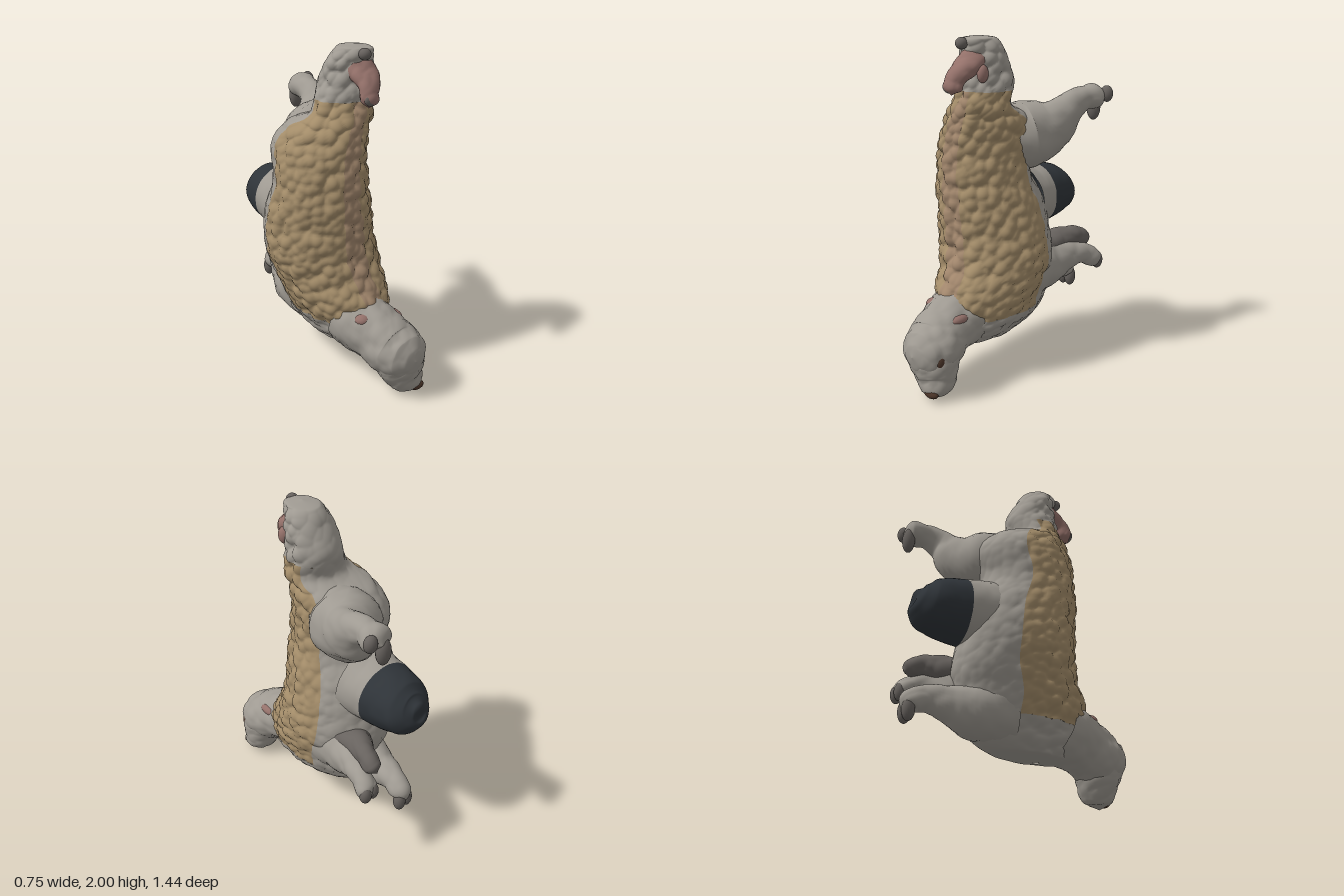
import * as THREE from 'three';

const COLORS = {
  wool: 0xa38c69, spine: 0xa1866c, pale: 0x9f9a92, dark: 0x2f3439, hoof: 0x67625e, pink: 0x94716a, eye: 0x4a3428,
};
const materials = {};
for (const key in COLORS) {
  materials[key] = new THREE.MeshStandardMaterial({ color: COLORS[key], side: THREE.DoubleSide });
}

// Seeded cell hash and clump pattern for the curly fleece
function hash(i, j, k, s) {
  const v = Math.sin(i * 127.1 + j * 311.7 + k * 74.7 + s * 53.3) * 43758.5453;
  return v - Math.floor(v);
}
function clumps(p, size) {
  const x = p.x / size, y = p.y / size, z = p.z / size;
  const i = Math.floor(x), j = Math.floor(y), k = Math.floor(z);
  let best = 4;
  for (let a = i - 1; a <= i + 1; a++)
    for (let b = j - 1; b <= j + 1; b++)
      for (let c = k - 1; c <= k + 1; c++) {
        const dx = a + hash(a, b, c, 1) - x, dy = b + hash(a, b, c, 2) - y, dz = c + hash(a, b, c, 3) - z;
        best = Math.min(best, dx * dx + dy * dy + dz * dz);
      }
  return 0.5 - Math.min(best, 1);
}

// Surface through elliptical stations [x, y, z, radiusAcross, radiusUp].
// A fixed axis keeps all sections parallel; angle runs from +x.
function surface(stations, { axis = null, bump, size = 0.06 }) {
  const path = new THREE.CatmullRomCurve3(stations.map((s) => new THREE.Vector3(s[0], s[1], s[2])));
  const radii = new THREE.CatmullRomCurve3(stations.map((s) => new THREE.Vector3(s[3], s[4], 0)), false, 'catmullrom', 0.4);
  return (u, angle) => {
    const centre = path.getPoint(u);
    const r = radii.getPoint(u);
    const t = axis || path.getTangent(u);
    const across = new THREE.Vector3(1, 0, 0).addScaledVector(t, -t.x).normalize();
    const up = across.clone().cross(t);
    const dir = across.multiplyScalar(Math.max(r.x, 0) * Math.cos(angle))
      .addScaledVector(up, Math.max(r.y, 0) * Math.sin(angle));
    const p = centre.clone().add(dir);
    const push = bump(u, angle) * clumps(p, size);
    return p.addScaledVector(dir.normalize(), push);
  };
}

// Mesh over a part of such a surface
function patch(name, material, at, rows, cols, u0 = 0, u1 = 1, a0 = 0, a1 = Math.PI * 2) {
  const positions = [], index = [];
  const closed = Math.abs(a1 - a0 - Math.PI * 2) < 1e-6;
  const width = closed ? cols : cols + 1;
  for (let i = 0; i <= rows; i++)
    for (let j = 0; j < width; j++) {
      const p = at(u0 + ((u1 - u0) * i) / rows, a0 + ((a1 - a0) * j) / cols);
      positions.push(p.x, p.y, p.z);
    }
  for (let i = 0; i < rows; i++)
    for (let j = 0; j < cols; j++) {
      const a = i * width + j, b = i * width + ((j + 1) % width);
      index.push(a, a + width, b, b, a + width, b + width);
    }
  const geometry = new THREE.BufferGeometry();
  geometry.setAttribute('position', new THREE.Float32BufferAttribute(positions, 3));
  geometry.setIndex(index);
  geometry.computeVertexNormals();
  const mesh = new THREE.Mesh(geometry, materials[material]);
  mesh.name = name;
  return mesh;
}

function blob(name, material, position, radius) {
  const mesh = new THREE.Mesh(new THREE.SphereGeometry(1, 20, 14), materials[material]);
  mesh.position.set(...position);
  mesh.scale.set(...radius);
  mesh.name = name;
  return mesh;
}

export function createModel() {
  const model = new THREE.Group();
  model.name = 'sheep';

  // Trunk sections: height, min x, max x, front z, back z
  const trunk = [
    [0.2, 0.01, 0.04, 0.14, 0.1], [0.22, -0.11, 0.13, 0.33, -0.18], [0.35, -0.2, 0.23, 0.42, -0.36],
    [0.5, -0.27, 0.27, 0.41, -0.38], [0.65, -0.32, 0.29, 0.33, -0.42], [0.8, -0.36, 0.27, 0.29, -0.41],
    [1.0, -0.36, 0.23, 0.29, -0.38], [1.2, -0.34, 0.175, 0.29, -0.29], [1.4, -0.32, 0.175, 0.28, -0.33],
    [1.53, -0.26, 0.18, 0.27, -0.24], [1.61, -0.19, 0.17, 0.26, -0.06], [1.75, -0.13, 0.17, 0.24, -0.07],
    [1.9, -0.1, 0.155, 0.24, 0], [1.985, -0.05, 0.12, 0.26, 0.06], [2.0, 0.03, 0.03, 0.17, 0.17],
  ].map(([y, x0, x1, z0, z1]) => [(x0 + x1) / 2, y, (z0 + z1) / 2, (x1 - x0) / 2, (z0 - z1) / 2]);
  const trunkSurface = surface(trunk, {
    axis: new THREE.Vector3(0, 1, 0),
    bump: (u, a) => (0.01 + 0.03 * THREE.MathUtils.smoothstep(Math.sin(a), -0.7, 0.2)) * Math.min(1, u * 8, (1 - u) * 8),
  });
  const flank = -0.35, spine = Math.PI / 2 - 0.22, neckLine = 0.76, hipLine = 0.16;
  model.add(
    patch('leftFleece', 'wool', trunkSurface, 130, 44, hipLine, neckLine, flank, spine),
    patch('spineStrip', 'spine', trunkSurface, 130, 14, hipLine, neckLine, spine, Math.PI - spine),
    patch('rightFleece', 'wool', trunkSurface, 130, 44, hipLine, neckLine, Math.PI - spine, Math.PI - flank),
    patch('belly', 'pale', trunkSurface, 130, 56, hipLine, neckLine, Math.PI - flank, Math.PI * 2 + flank),
    patch('lowerChest', 'pale', trunkSurface, 36, 96, 0, hipLine),
    patch('upperHead', 'pale', trunkSurface, 56, 96, neckLine, 1),
  );

  const bumps = (amount, size) => ({ bump: (u) => amount * Math.min(1, (1 - u) * 6), size });

  // Lower neck and domed head with its muzzle hanging down
  const neck = surface([
    [0, 0.44, 0.12, 0.2, 0.2], [-0.01, 0.38, 0.3, 0.19, 0.18], [0.01, 0.335, 0.44, 0.165, 0.165],
    [0.035, 0.28, 0.56, 0.172, 0.155], [0.04, 0.27, 0.66, 0.135, 0.125], [0.04, 0.27, 0.705, 0.07, 0.07], [0.04, 0.27, 0.722, 0, 0],
  ], bumps(0.016, 0.07));
  const muzzle = surface([
    [0.035, 0.28, 0.56, 0.15, 0.13], [0.06, 0.2, 0.57, 0.15, 0.13], [0.085, 0.11, 0.58, 0.12, 0.105],
    [0.105, 0.045, 0.605, 0.085, 0.07], [0.11, 0.005, 0.61, 0, 0],
  ], bumps(0.015, 0.06));
  model.add(
    patch('lowerNeck', 'pale', neck, 50, 56, 0.12, 1),
    patch('lowerMuzzle', 'pale', muzzle, 36, 40, 0.12, 1),
    blob('lowerNose', 'eye', [0.12, 0.05, 0.655], [0.05, 0.025, 0.028]),
    blob('lowerLeftEye', 'eye', [0.165, 0.25, 0.62], [0.03, 0.045, 0.035]),
    blob('lowerRightEye', 'eye', [-0.08, 0.24, 0.63], [0.025, 0.03, 0.03]),
    blob('lowerLeftEar', 'pink', [0.125, 0.43, 0.43], [0.035, 0.03, 0.07]),
    blob('lowerRightEar', 'pink', [-0.1, 0.46, 0.41], [0.05, 0.035, 0.05]),
  );

  // Upper face, looking forward and down
  const face = surface([
    [0.03, 1.9, 0.16, 0.09, 0.08], [0.03, 1.84, 0.25, 0.085, 0.06], [0.01, 1.78, 0.315, 0.06, 0.045],
    [-0.005, 1.72, 0.335, 0.055, 0.04], [-0.01, 1.68, 0.335, 0, 0],
  ], bumps(0.015, 0.06));
  model.add(
    patch('upperFace', 'pink', face, 30, 32, 0.12, 1),
    blob('upperNose', 'hoof', [-0.01, 1.73, 0.355], [0.045, 0.035, 0.022]),
    blob('upperCrest', 'hoof', [0.01, 1.96, 0.275], [0.035, 0.033, 0.035]),
    blob('upperLeftEar', 'pink', [0.12, 1.8, 0.225], [0.03, 0.05, 0.035]),
  );

  // Legs as lofted limbs
  const legs = [
    ['upperLeg', 'pale', [
      [0.01, 1.4, -0.04, 0.15, 0.17], [0.06, 1.4, -0.2, 0.205, 0.2], [0.15, 1.45, -0.33, 0.14, 0.165],
      [0.22, 1.55, -0.43, 0.085, 0.1], [0.235, 1.595, -0.53, 0.07, 0.07], [0.26, 1.6, -0.62, 0.085, 0.07], [0.27, 1.59, -0.67, 0, 0]]],
    ['lowerLeftLeg', 'pale', [
      [0.08, 0.57, -0.15, 0.19, 0.2], [0.15, 0.59, -0.33, 0.13, 0.15], [0.22, 0.62, -0.45, 0.08, 0.085],
      [0.26, 0.61, -0.55, 0.06, 0.06], [0.28, 0.57, -0.62, 0.06, 0.055], [0.28, 0.55, -0.66, 0, 0]]],
    ['lowerRightLeg', 'pale', [
      [-0.04, 0.44, -0.12, 0.18, 0.19], [-0.03, 0.41, -0.31, 0.15, 0.15], [-0.01, 0.44, -0.45, 0.1, 0.105],
      [0.02, 0.455, -0.58, 0.068, 0.07], [0.035, 0.42, -0.66, 0.06, 0.06], [0.04, 0.35, -0.685, 0, 0]]],
    ['foldedLeg', 'hoof', [
      [0.1, 0.67, -0.25, 0.12, 0.1], [0.15, 0.7, -0.42, 0.08, 0.08], [0.2, 0.72, -0.52, 0.055, 0.06],
      [0.22, 0.69, -0.6, 0.045, 0.045], [0.22, 0.67, -0.63, 0, 0]]],
  ];
  for (const [name, material, stations] of legs)
    model.add(patch(name, material, surface(stations, bumps(0.014, 0.08)), 44, 36));

  // Two toes on each foot
  const toes = [
    ['upperToe', [0.33, 1.62, -0.645], [0.04, 0.05, 0.035]], ['upperToe', [0.235, 1.53, -0.645], [0.045, 0.08, 0.038]],
    ['lowerLeftToe', [0.31, 0.56, -0.63], [0.037, 0.055, 0.035]], ['lowerLeftToe', [0.255, 0.56, -0.63], [0.037, 0.055, 0.035]],
    ['lowerRightToe', [0.065, 0.375, -0.675], [0.037, 0.065, 0.037]], ['lowerRightToe', [0.01, 0.375, -0.675], [0.037, 0.065, 0.037]],
  ];
  for (const [name, position, radius] of toes) model.add(blob(name, 'hoof', position, radius));

  // Pale skirt and dark rounded bulge on the underside
  const bulge = surface([
    [-0.05, 0.98, -0.15, 0.25, 0.23], [-0.05, 0.98, -0.35, 0.21, 0.2], [-0.04, 0.98, -0.5, 0.185, 0.18],
    [-0.03, 0.985, -0.61, 0.16, 0.15], [-0.03, 1.0, -0.67, 0.105, 0.1], [-0.03, 1.01, -0.695, 0.05, 0.05], [-0.03, 1.01, -0.7, 0, 0],
  ], bumps(0.008, 0.1));
  model.add(
    patch('bulgeSkirt', 'pale', bulge, 20, 48, 0.08, 0.24),
    patch('darkBulge', 'dark', bulge, 40, 48, 0.24, 1),
  );
  return model;
}
